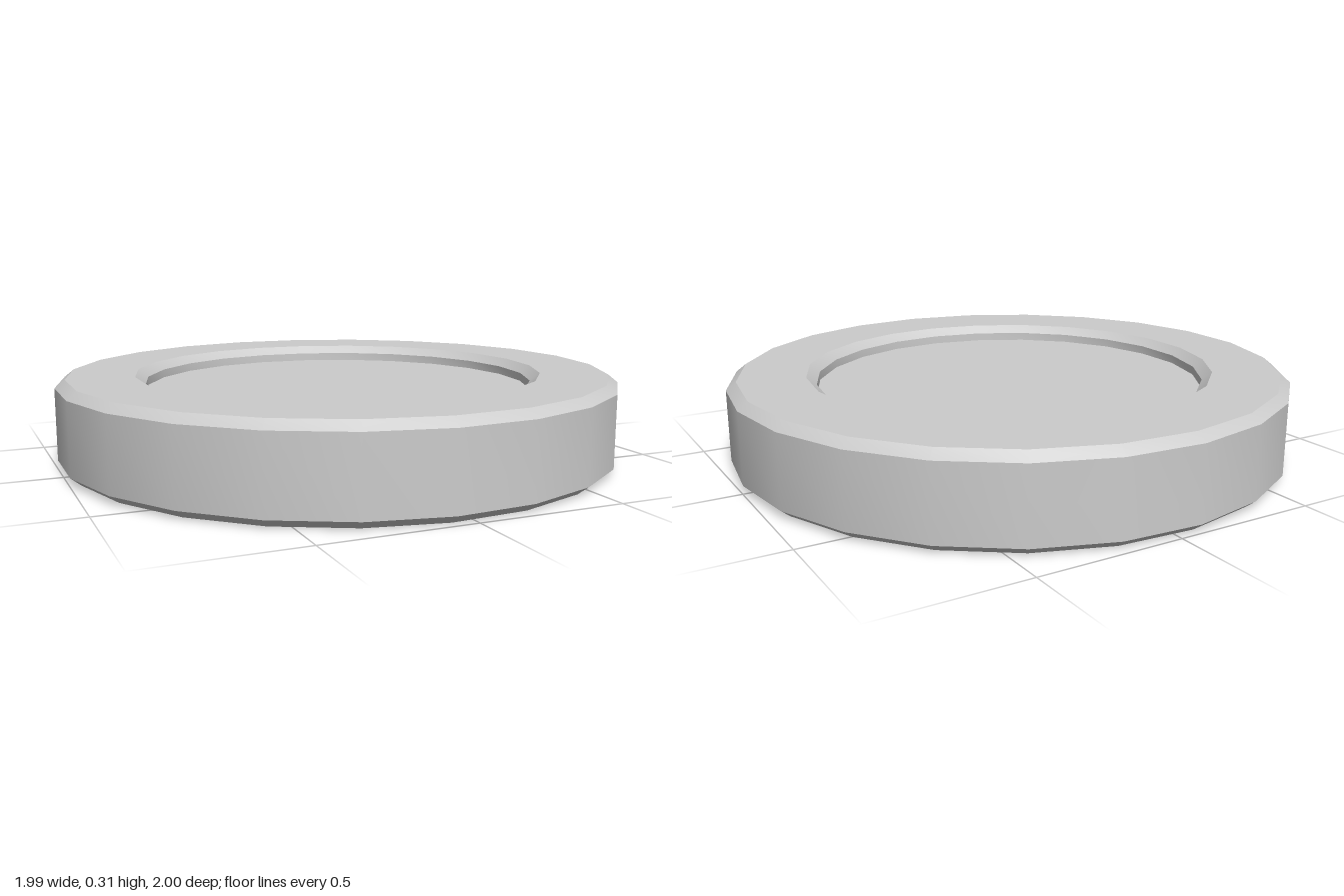
import * as THREE from 'three';
import { toCreasedNormals } from 'three/addons/utils/BufferGeometryUtils.js';

const SIDES = 23;
const HEIGHT = 0.308;
const OUTER = 1.002, INNER = 0.73; // rim radii
const BEVEL_R = 0.035, BEVEL_Y = 0.028; // bevel width and drop
const RECESS = 0.058; // depth of the panel below each rim face

export function createModel() {
  const group = new THREE.Group();
  const material = new THREE.MeshStandardMaterial({ color: 0xcccccc });

  // Bevelled rim, turned from one profile running inner bottom -> outside -> inner top
  const seat = INNER - BEVEL_R;
  const lower = [
    [seat, RECESS],
    [seat, BEVEL_Y],
    [INNER, 0],
    [OUTER - BEVEL_R, 0],
    [OUTER, BEVEL_Y],
  ];
  const upper = lower.map(([r, y]) => [r, HEIGHT - y]).reverse();
  const profile = [...lower, ...upper].map(([r, y]) => new THREE.Vector2(r, y));
  const rimGeometry = new THREE.LatheGeometry(profile, SIDES, Math.PI / 2);
  const rim = new THREE.Mesh(toCreasedNormals(rimGeometry, 0.5), material);
  rim.name = 'rim';
  group.add(rim);

  // Recessed flat panels on the top and the underside
  for (const [name, y, tilt] of [
    ['topPanel', HEIGHT - RECESS, -Math.PI / 2],
    ['bottomPanel', RECESS, Math.PI / 2],
  ]) {
    const panel = new THREE.Mesh(new THREE.CircleGeometry(seat, SIDES), material);
    panel.name = name;
    panel.rotation.x = tilt;
    panel.position.y = y;
    group.add(panel);
  }

  // Odd side count: shift so the bounding box is centred on x
  group.position.x = -0.005;
  return group;
}
